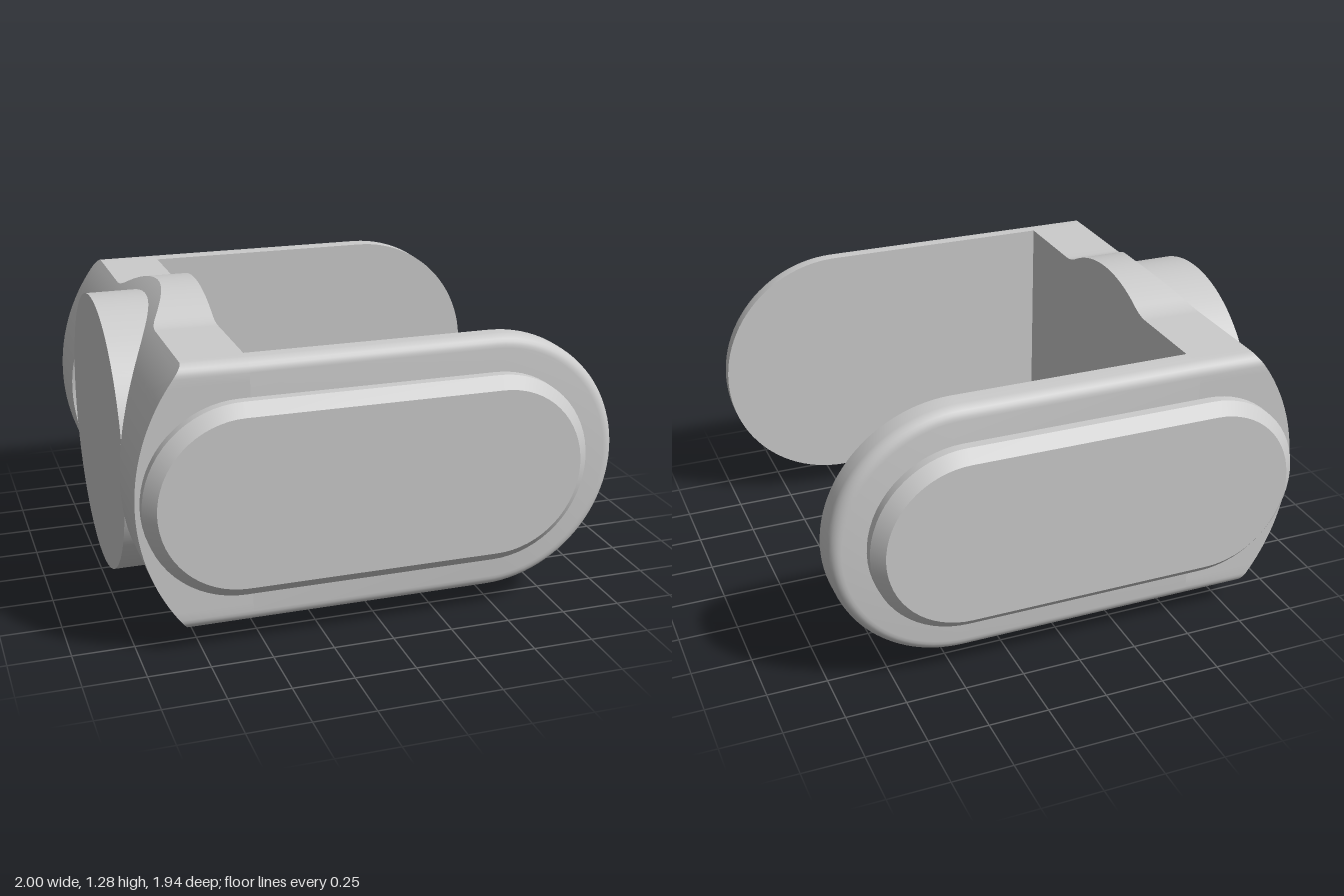
import * as THREE from 'three';
import { toCreasedNormals } from 'three/addons/utils/BufferGeometryUtils.js';

const MID = 0.643;      // height of the horizontal centre line
const H = 0.542;        // half height of the bracket
const OUT = 0.88;       // outer face of the arms
const WEB = -0.545;     // front face of the web
const FILLET = 0.05;
const V = (x, y, z) => new THREE.Vector3(x, y, z);

// Skin a series of closed rings; rings run counter-clockwise about the direction of travel
function loft(rings, capStart = true, capEnd = true) {
  const pos = [];
  const tri = (...pts) => pts.forEach((p) => pos.push(p.x, p.y, p.z));
  const centre = (r) => r.reduce((s, p) => s.add(p), V(0, 0, 0)).divideScalar(r.length);
  const n = rings[0].length;
  const first = rings[0], last = rings[rings.length - 1];
  const c0 = centre(first), c1 = centre(last);
  for (let i = 0; i < n; i++) {
    const j = (i + 1) % n;
    for (let k = 0; k < rings.length - 1; k++) {
      const a = rings[k], b = rings[k + 1];
      tri(a[i], a[j], b[j]);
      tri(a[i], b[j], b[i]);
    }
    if (capStart) tri(c0, first[j], first[i]);
    if (capEnd) tri(c1, last[i], last[j]);
  }
  const g = new THREE.BufferGeometry();
  g.setAttribute('position', new THREE.Float32BufferAttribute(pos, 3));
  return toCreasedNormals(g, 0.5);
}

// Bowed rear surface: x as a function of height
const rearX = (y) => -0.164 - Math.sqrt(0.836 ** 2 - y * y);

// Web outline as [z, y]: bulge, blending curve, flat, rounded corner, side
function webOutline() {
  const R = 0.642, zf = 0.4;
  const rf = (zf * zf + H * H - R * R) / (2 * (R - H));
  const tilt = Math.atan2(zf, H + rf);
  const q = [];
  for (let i = 0; i <= 14; i++) {
    const a = tilt * i / 14;
    q.push([R * Math.sin(a), R * Math.cos(a)]);
  }
  for (let i = 1; i <= 8; i++) {
    const a = tilt * (1 - i / 8);
    q.push([zf - rf * Math.sin(a), H + rf - rf * Math.cos(a)]);
  }
  for (let i = 1; i <= 10; i++) q.push([zf + (OUT - FILLET - zf) * i / 10, H]);
  for (let i = 1; i <= 6; i++) {
    const a = Math.PI / 2 * i / 6;
    q.push([OUT - FILLET + FILLET * Math.sin(a), H - FILLET + FILLET * Math.cos(a)]);
  }
  for (let i = 1; i <= 14; i++) q.push([OUT, (H - FILLET) * (1 - i / 14)]);
  // Mirror the quarter down, then the half across
  const half = q.concat(q.slice(0, -1).reverse().map(([z, y]) => [z, -y]));
  return half.concat(half.slice(1, -1).reverse().map(([z, y]) => [-z, y]));
}

// Stadium outline in the xy plane
function stadium(x0, x1, r, z, n = 32) {
  const pts = [];
  for (const [cx, start] of [[x1, -Math.PI / 2], [x0, Math.PI / 2]])
    for (let i = 0; i <= n; i++) {
      const a = start + Math.PI * i / n;
      pts.push(V(cx + r * Math.cos(a), r * Math.sin(a), z));
    }
  return pts;
}

// Arm outline: square where it meets the web, round at the free end
function armRing(r, z, n = 48) {
  const pts = [V(WEB, -r, z)];
  for (let i = 0; i <= n; i++) {
    const a = -Math.PI / 2 + Math.PI * i / n;
    pts.push(V(0.458 + r * Math.cos(a), r * Math.sin(a), z));
  }
  pts.push(V(WEB, r, z));
  return pts;
}

export function createModel() {
  const root = new THREE.Group();
  root.name = 'bracket';
  const body = new THREE.Group();
  body.name = 'bracketBody';
  body.position.y = MID;
  root.add(body);
  const mat = new THREE.MeshStandardMaterial({ color: 0xcccccc });
  const matBoth = new THREE.MeshStandardMaterial({ color: 0xcccccc, side: THREE.DoubleSide });
  const add = (parent, name, geo, m = mat) => {
    const mesh = new THREE.Mesh(geo, m);
    mesh.name = name;
    parent.add(mesh);
  };

  // Web: rear surface spreads from the boss circle to the outline, then runs forward
  const outline = webOutline();
  const circle = outline.map(([z, y]) => {
    const s = 0.59 / Math.hypot(z, y);
    return [z * s, y * s];
  });
  const rings = [];
  for (let k = 0; k <= 8; k++)
    rings.push(outline.map(([z, y], i) => {
      const [cz, cy] = circle[i];
      const py = cy + (y - cy) * k / 8;
      return V(rearX(py), py, cz + (z - cz) * k / 8);
    }));
  rings.push(outline.map(([z, y]) => V(WEB, y, z)));
  add(body, 'web', loft(rings, false, true));

  // Flat round boss on the rear, trimmed to the bowed surface
  add(body, 'rearBoss', loft([
    circle.map(([z, y]) => V(-0.985, y, z)),
    circle.map(([z, y]) => V(rearX(y), y, z)),
  ], true, false), matBoth);

  // Two arms with raised, chamfered pads; the rear one is turned about x
  for (const [side, inner, turn] of [['front', 0.785, 0], ['rear', 0.758, Math.PI]]) {
    const arm = new THREE.Group();
    arm.name = side + 'ArmGroup';
    arm.rotation.x = turn;
    const armRings = [armRing(H, inner)];
    for (let i = 0; i <= 6; i++) {
      const a = Math.PI / 2 * i / 6;
      armRings.push(armRing(H - FILLET + FILLET * Math.cos(a), OUT - FILLET + FILLET * Math.sin(a)));
    }
    add(arm, side + 'Arm', loft(armRings));
    add(arm, side + 'Pad', loft([
      stadium(-0.585, 0.455, 0.396, OUT - 0.02),
      stadium(-0.585, 0.455, 0.396, 0.92),
      stadium(-0.585, 0.455, 0.348, 0.968),
    ]));
    body.add(arm);
  }
  return root;
}
